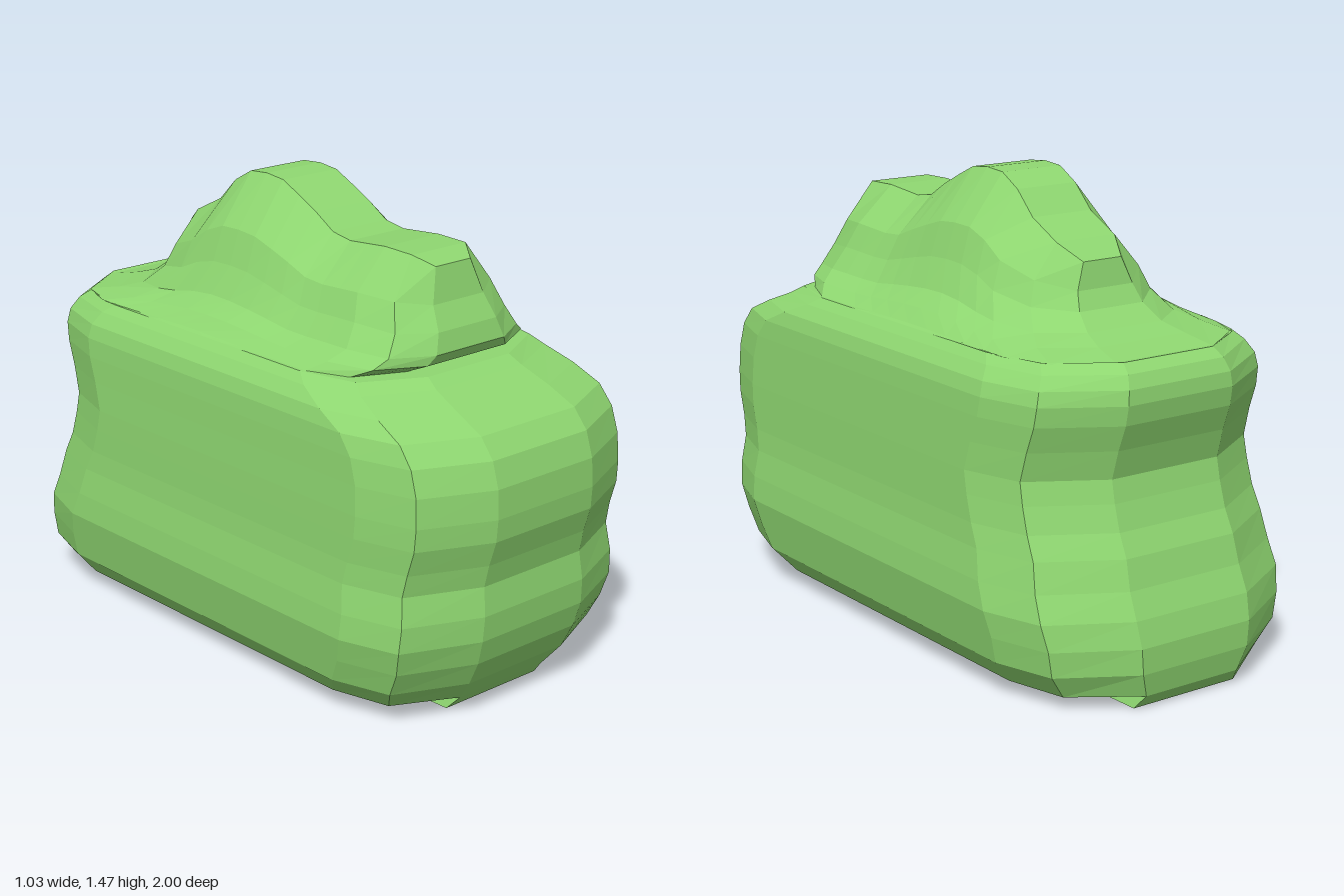
import * as THREE from 'three';

// Ridge line of the upper mound: [z, y] from front to back
const RIDGE = [[0.6, 1.31], [0.54, 1.34], [0.45, 1.345], [0.27, 1.33], [0.2, 1.34], [0.1, 1.4], [-0.04, 1.465],
  [-0.17, 1.475], [-0.27, 1.42], [-0.35, 1.34], [-0.46, 1.29], [-0.53, 1.24]];

// Body rings: [height, half width, front z, back z]
const BODY = [
  [0.045, 0.425, 0.84, -0.985], [0.12, 0.485, 0.9, -1], [0.2, 0.5, 0.94, -1], [0.28, 0.515, 0.962, -0.98],
  [0.36, 0.508, 0.967, -0.945], [0.45, 0.495, 0.955, -0.92], [0.52, 0.49, 0.97, -0.885], [0.6, 0.488, 0.995, -0.86],
  [0.67, 0.486, 1, -0.845], [0.76, 0.482, 0.995, -0.87], [0.84, 0.479, 0.97, -0.9], [0.9, 0.475, 0.92, -0.91],
  [0.945, 0.463, 0.82, -0.905], [0.985, 0.435, 0.72, -0.885], [1.012, 0.41, 0.675, -0.85],
];

// Mound rings: [share of the ridge height, half width, front z, back z, corner scale]
const MOUND = [
  [0.04, 0.4, 0.6, -0.83, 0.7], [0.13, 0.36, 0.665, -0.73, 0.75], [0.23, 0.31, 0.68, -0.65, 0.7],
  [0.43, 0.265, 0.665, -0.585, 0.7], [0.66, 0.23, 0.625, -0.555, 0.65], [1, 0.11, 0.6, -0.54, 0.6],
];

function ridgeHeight(z) {
  if (z >= RIDGE[0][0]) return RIDGE[0][1];
  for (let i = 1; i < RIDGE.length; i++) {
    const [z0, y0] = RIDGE[i - 1], [z1, y1] = RIDGE[i];
    if (z >= z1) return THREE.MathUtils.mapLinear(z, z0, z1, y0, y1);
  }
  return RIDGE[RIDGE.length - 1][1];
}

// One half of a ring, running front to back along +x
function halfRing(width, front, back, scale, heightAt, cap = 0.41, corner = 0.88) {
  const pts = [[cap, front], [corner, front - 0.1 * scale]];
  const z0 = front - 0.29 * scale, z1 = back + 0.33 * scale;
  const steps = 10;
  for (let i = 0; i <= steps; i++) pts.push([1, THREE.MathUtils.lerp(z0, z1, i / steps)]);
  pts.push([corner, back + 0.135 * scale], [cap, back]);
  return pts.map(([f, z]) => new THREE.Vector3(f * width, heightAt(z), z));
}

function loft(halves) {
  const pos = [];
  const quad = (a, b, c, d) => [a, b, c, a, c, d].forEach((p) => pos.push(p.x, p.y, p.z));
  const mirror = (p) => new THREE.Vector3(-p.x, p.y, p.z);
  const rings = halves.map((h) => [...h, ...h.map(mirror).reverse()]);
  const n = rings[0].length;
  for (let i = 0; i < rings.length - 1; i++) {
    for (let j = 0; j < n; j++) {
      const k = (j + 1) % n;
      quad(rings[i][j], rings[i][k], rings[i + 1][k], rings[i + 1][j]);
    }
  }
  // Close the underside and the top ridge with strips across x
  const low = halves[0], high = halves[halves.length - 1];
  for (let j = 0; j < low.length - 1; j++) {
    quad(mirror(low[j]), mirror(low[j + 1]), low[j + 1], low[j]);
    quad(high[j], high[j + 1], mirror(high[j + 1]), mirror(high[j]));
  }
  const geo = new THREE.BufferGeometry();
  geo.setAttribute('position', new THREE.Float32BufferAttribute(pos, 3));
  geo.computeVertexNormals();
  return geo;
}

export function createModel() {
  const group = new THREE.Group();
  group.name = 'hedge';
  const foliage = new THREE.MeshStandardMaterial({ color: 0x8ed670, flatShading: true });

  const rings = [halfRing(0.2, 0.8, -0.95, 1, () => 0, 0.96, 0.98)];
  for (const [y, w, f, b] of BODY) rings.push(halfRing(w, f, b, 1, () => y));
  for (const [t, w, f, b, s] of MOUND) {
    rings.push(halfRing(w, f, b, s, (z) => 1 + t * (ridgeHeight(z) - 1), t === 1 ? 0.65 : 0.45, t === 1 ? 1 : 0.86));
  }

  const bush = new THREE.Mesh(loft(rings), foliage);
  bush.name = 'bush';
  group.add(bush);
  return group;
}
